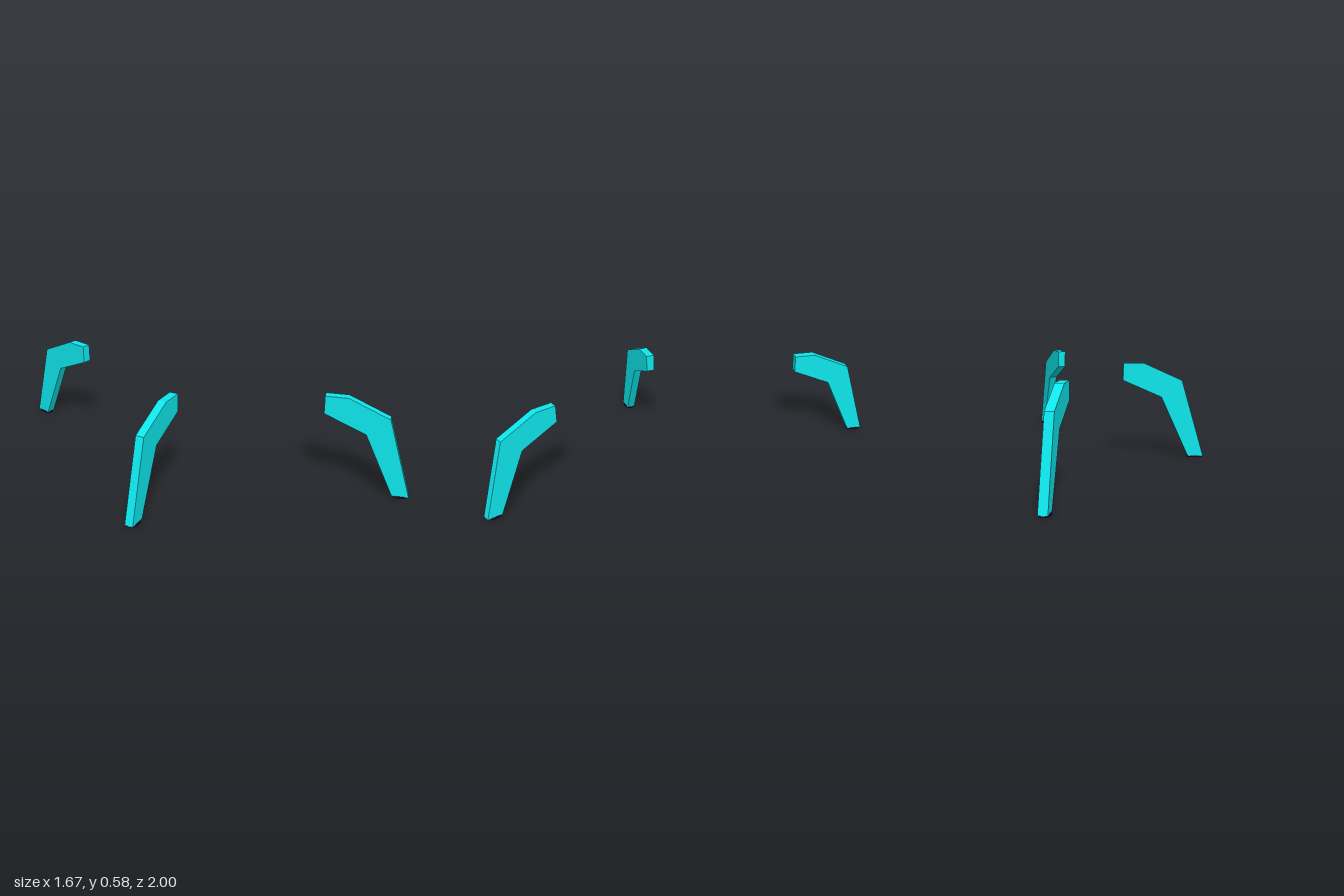
import * as THREE from 'three';

const legMaterial = new THREE.MeshStandardMaterial({ color: 0x0ee6ec, flatShading: true });
const padMaterial = new THREE.MeshStandardMaterial({ color: 0x2a0a33 });

const LENGTH = 0.5, THICKNESS = 0.05;

// Bent leg outline: x runs outward from the inner end, y is up
const PROFILE = [
  [0, 0.478], [0.236, 0.375], [0.406, 0.008], [0.5, 0.008],
  [0.36, 0.478], [0.127, 0.583], [0, 0.583],
];

function createLeg(name, x, z, degrees) {
  const leg = new THREE.Group();
  leg.name = name;

  // Flat extruded strut, centred on its length and thickness
  const shape = new THREE.Shape(PROFILE.map(([u, y]) => new THREE.Vector2(u, y)));
  const strutGeometry = new THREE.ExtrudeGeometry(shape, { depth: THICKNESS, bevelEnabled: false });
  strutGeometry.translate(-LENGTH / 2, 0, -THICKNESS / 2);
  const strut = new THREE.Mesh(strutGeometry, legMaterial);
  strut.name = name + 'Strut';

  // Thin oval pad under the foot
  const padGeometry = new THREE.CylinderGeometry(1, 1, 0.01, 20);
  padGeometry.scale(0.048, 1, 0.032);
  const pad = new THREE.Mesh(padGeometry, padMaterial);
  pad.name = name + 'FootPad';
  pad.position.set(0.45 - LENGTH / 2, 0.005, 0);

  leg.add(strut, pad);
  leg.position.set(x, 0, z);
  leg.rotation.y = -THREE.MathUtils.degToRad(degrees);
  return leg;
}

export function createModel() {
  const model = new THREE.Group();
  model.name = 'splayedLegs';
  // Heading is measured from +x towards +z
  model.add(
    createLeg('frontLeftLeg', 0.62, 0.832, 36),
    createLeg('frontRightLeg', -0.531, 0.502, 140.7),
    createLeg('backRightLeg', -0.701, -0.766, 243),
  );
  return model;
}
